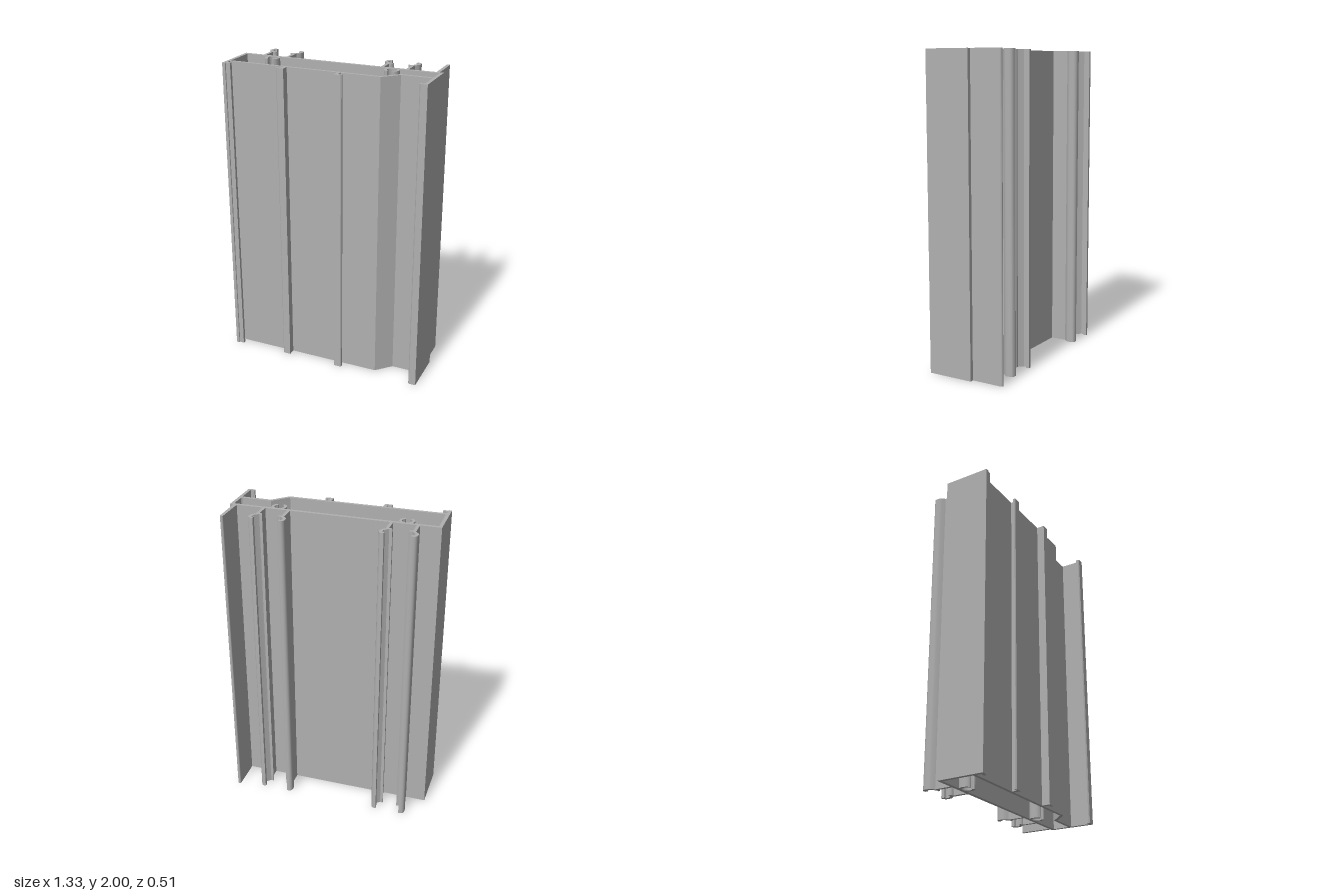
import * as THREE from 'three';
import { toCreasedNormals } from 'three/addons/utils/BufferGeometryUtils.js';

const HEIGHT = 2;
const BACK = -0.045, BACK_IN = -0.023; // faces of the rear wall
const FRONT_IN = 0.18, FRONT = 0.2; // faces of the front wall

export function createModel() {
  const group = new THREE.Group();
  const aluminium = new THREE.MeshStandardMaterial({ color: 0xb0b0b0 });
  aluminium.name = 'aluminium grey';

  // Extrudes an (x, z) outline upward from the ground
  function extrude(name, points, hole) {
    const toVec = ([x, z]) => new THREE.Vector2(x, z);
    const shape = new THREE.Shape(points.map(toVec));
    if (hole) shape.holes.push(new THREE.Path(hole.map(toVec)));
    let geo = new THREE.ExtrudeGeometry(shape, { depth: HEIGHT, bevelEnabled: false });
    geo.rotateX(Math.PI / 2).translate(0, HEIGHT, 0);
    geo = toCreasedNormals(geo, 0.6);
    const mesh = new THREE.Mesh(geo, aluminium);
    mesh.name = name;
    group.add(mesh);
  }

  // Points on an arc; the angle is measured from the back (-z) towards +x
  function arc(cx, cz, r, from, to, n) {
    return Array.from({ length: n + 1 }, (_, i) => {
      const a = from + ((to - from) * i) / n;
      return [cx + r * Math.sin(a), cz - r * Math.cos(a)];
    });
  }

  // Hollow box section with the two lipped front feet
  extrude('hollowBody', [
    [-0.667, BACK], [0.663, BACK], [0.663, 0.257],
    [0.62, 0.257], [0.613, 0.25], [0.613, 0.234], [0.62, 0.234], [0.624, 0.241], [0.642, 0.241],
    [0.642, 0.107], [0.45, 0.107], [0.358, FRONT], [-0.645, FRONT],
    [-0.645, 0.234], [-0.615, 0.23], [-0.615, 0.25], [-0.645, 0.25], [-0.647, 0.257], [-0.667, 0.257],
  ], [
    [-0.645, BACK_IN], [-0.645, FRONT_IN], [0.349, FRONT_IN],
    [0.442, 0.087], [0.635, 0.087], [0.642, 0.08], [0.642, BACK_IN],
  ]);

  // Hooks on the front wall
  extrude('frontHookRight', [
    [-0.25, FRONT], [-0.25, 0.248], [-0.295, 0.248], [-0.301, 0.243],
    [-0.301, 0.231], [-0.271, 0.231], [-0.271, FRONT],
  ]);
  extrude('frontHookLeft', [
    [0.083, FRONT], [0.083, 0.253], [0.128, 0.253], [0.134, 0.247],
    [0.134, 0.234], [0.122, 0.234], [0.118, 0.237], [0.104, 0.237], [0.104, FRONT],
  ]);

  // Rear fin with a rounded edge
  extrude('rearFin', [
    [0.617, BACK], ...arc(0.6275, -0.2465, 0.0105, -Math.PI / 2, Math.PI / 2, 8), [0.638, BACK],
  ]);

  // Each rail is a mirrored pair of clips, with a C-shaped screw port behind it
  const clip = [
    [-0.09, BACK], [-0.09, -0.15], [-0.109, -0.169], [-0.115, -0.18], [-0.115, -0.208],
    [-0.111, -0.219], [-0.103, -0.226], [-0.094, -0.229], [-0.08, -0.229], [-0.08, -0.207],
    [-0.091, -0.207], [-0.095, -0.203], [-0.095, -0.182], [-0.074, -0.16], [-0.067, -0.154],
    [-0.058, -0.154], [-0.048, -0.157], [-0.049, -0.149], [-0.055, -0.141],
    [-0.063, -0.136], [-0.071, -0.135], [-0.071, BACK],
  ];
  const portZ = 0.007, rIn = 0.03, rOut = 0.048, end = 2.5;
  const rMid = (rIn + rOut) / 2, rTip = (rOut - rIn) / 2;
  const start = Math.acos((portZ - BACK_IN) / rOut);
  const portArm = [
    ...arc(0, portZ, rOut, start, end, 10),
    ...arc(rMid * Math.sin(end), portZ - rMid * Math.cos(end), rTip, end, end + Math.PI, 6).slice(1, -1),
    ...arc(0, portZ, rIn, end, 0, 12),
  ];
  for (const [side, cx] of [['right', -0.4475], ['left', 0.3565]]) {
    for (const s of [1, -1]) {
      const place = ([x, z]) => [cx + s * x, z];
      extrude(`${side}RailClip`, clip.map(place));
      extrude(`${side}ScrewPortArm`, portArm.map(place));
    }
  }
  return group;
}
